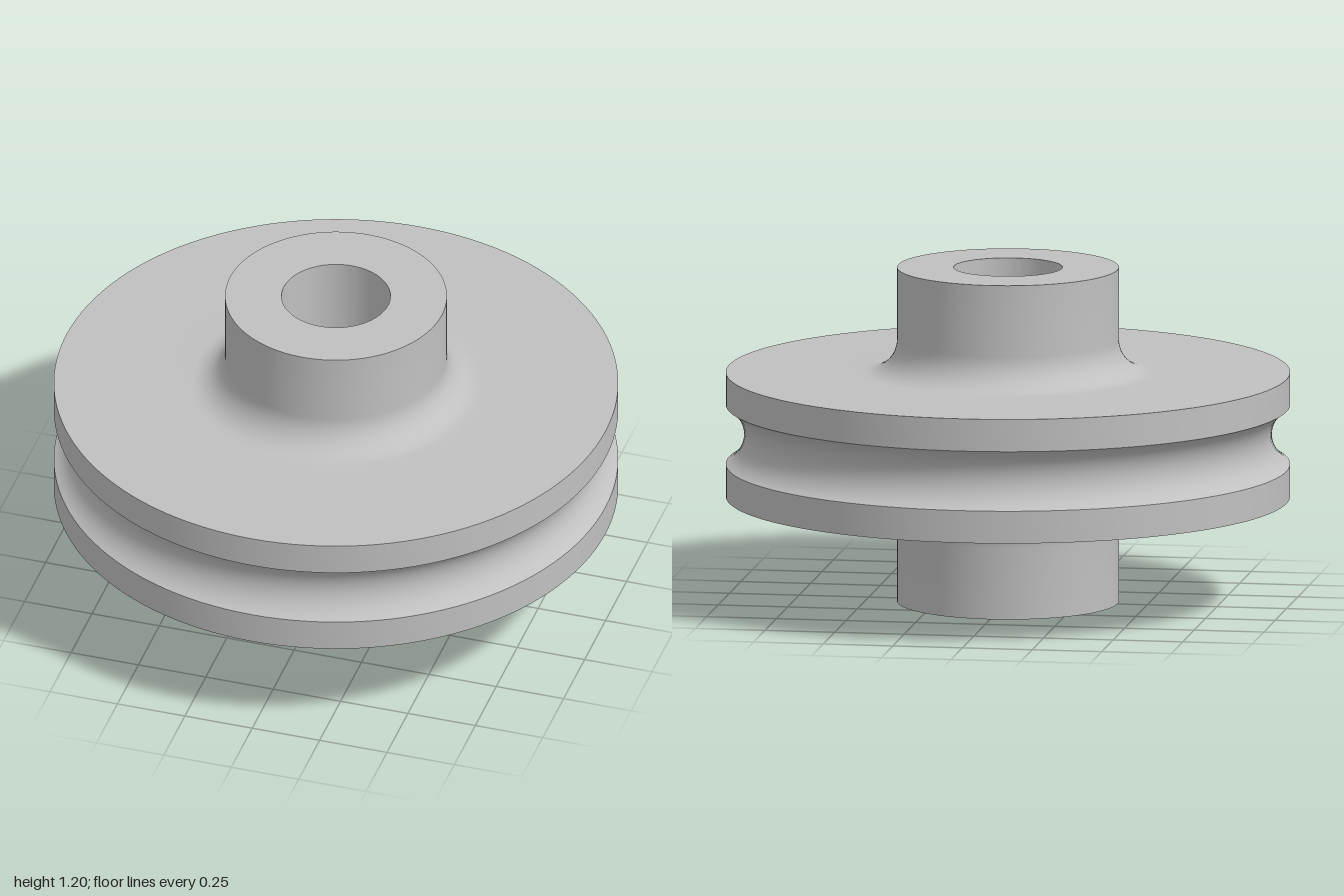
import * as THREE from 'three';
import { toCreasedNormals } from 'three/addons/utils/BufferGeometryUtils.js';

export function createModel() {
  const group = new THREE.Group();
  group.name = 'pulley';
  const steel = new THREE.MeshStandardMaterial({ color: 0xc0c0c0 });
  steel.name = 'grey metal';

  const height = 1.2, mid = height / 2;
  const bore = 0.193, hub = 0.393, rim = 1;
  const halfDisc = 0.223, fillet = 0.12;
  const grooveHalf = 0.107, grooveDepth = 0.065;
  const grooveR = (grooveHalf ** 2 + grooveDepth ** 2) / (2 * grooveDepth);
  const grooveAngle = Math.asin(grooveHalf / grooveR);

  const arc = (cx, cy, r, from, to, n) =>
    Array.from({ length: n + 1 }, (_, i) => {
      const a = from + (to - from) * i / n;
      return new THREE.Vector2(cx + r * Math.cos(a), cy + r * Math.sin(a));
    });

  // Lower half of the section: bore edge, hub, fillet, rim, half the groove
  const lower = [
    new THREE.Vector2(bore, 0),
    new THREE.Vector2(hub, 0),
    ...arc(hub + fillet, mid - halfDisc - fillet, fillet, Math.PI, Math.PI / 2, 12),
    new THREE.Vector2(rim, mid - halfDisc),
    ...arc(rim - grooveDepth + grooveR, mid, grooveR, Math.PI + grooveAngle, Math.PI, 10),
  ];
  // Mirror it for the upper half, then close down the bore
  const upper = lower.slice(0, -1).reverse().map(p => new THREE.Vector2(p.x, height - p.y));
  const profile = [...lower, ...upper, lower[0].clone()];

  const geometry = toCreasedNormals(new THREE.LatheGeometry(profile, 128), Math.PI / 6);
  const wheel = new THREE.Mesh(geometry, steel);
  wheel.name = 'groovedWheelWithHubs';
  group.add(wheel);
  return group;
}
